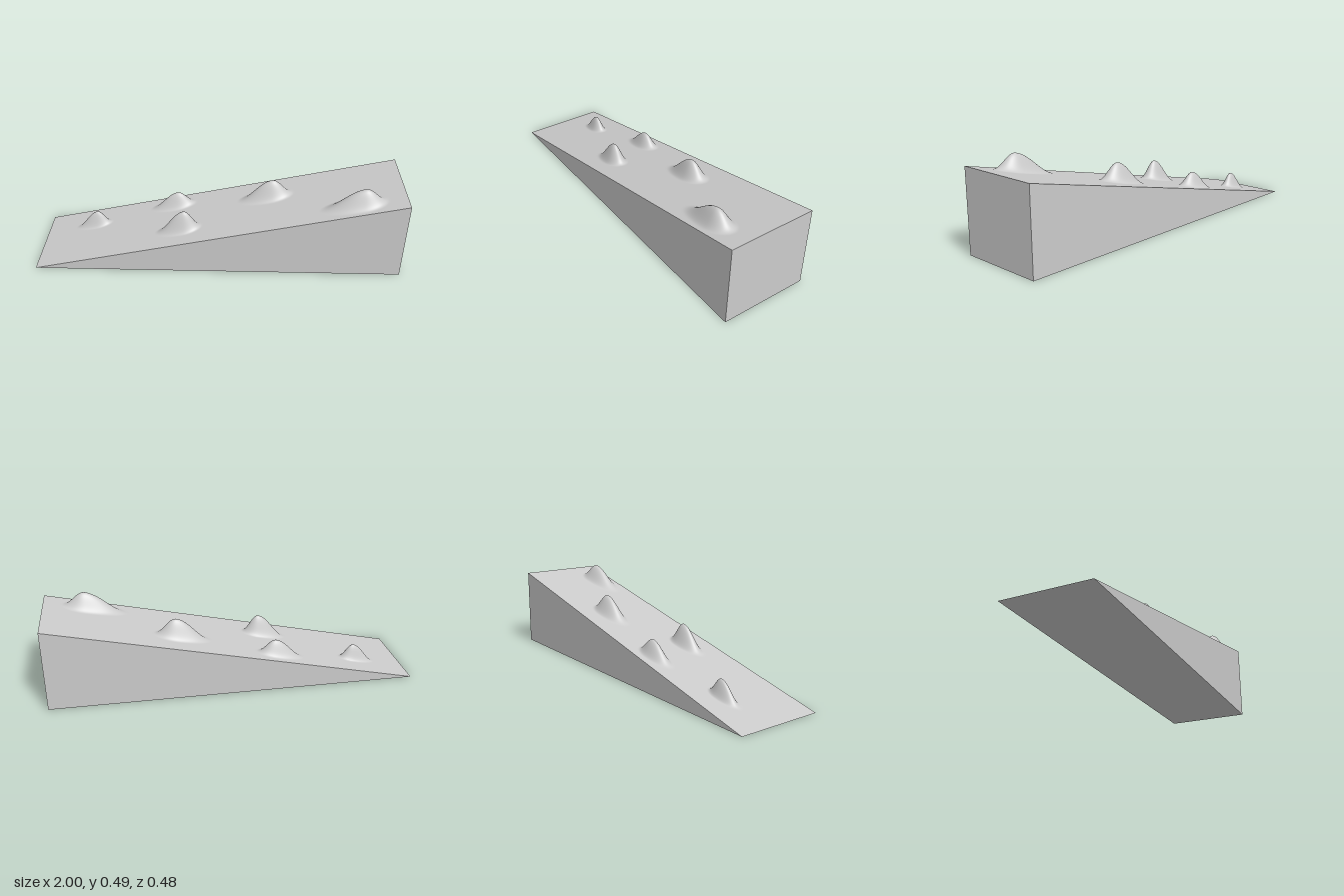
import * as THREE from 'three';

const HEIGHT = 0.445, HALF_DEPTH = 0.24;

// Bumps: peak x and z, height, reach toward -x, reach toward +x, half width in z
const BUMPS = [
  [-0.70, -0.09, 0.088, 0.13, 0.085, 0.047],
  [-0.235, -0.15, 0.085, 0.16, 0.11, 0.06],
  [-0.185, 0.095, 0.112, 0.16, 0.10, 0.064],
  [0.30, -0.08, 0.103, 0.19, 0.125, 0.074],
  [0.775, 0.143, 0.092, 0.23, 0.13, 0.08],
];

// Ramp height plus the rounded, lopsided bumps
function surfaceY(x, z) {
  let y = HEIGHT * (x + 1) / 2;
  for (const [bx, bz, h, left, right, wide] of BUMPS) {
    const r = Math.hypot((x - bx) / (x < bx ? left : right), (z - bz) / wide);
    if (r < 1) y += h * Math.cos(r * Math.PI / 2) ** 2;
  }
  return y;
}

export function createModel() {
  const group = new THREE.Group();
  group.name = 'bumpyRamp';
  const material = new THREE.MeshStandardMaterial({ color: 0xcccccc });

  // Sloping top with bumps
  const top = new THREE.PlaneGeometry(2, HALF_DEPTH * 2, 260, 96);
  top.rotateX(-Math.PI / 2);
  const p = top.attributes.position;
  for (let i = 0; i < p.count; i++) p.setY(i, surfaceY(p.getX(i), p.getZ(i)));
  top.computeVertexNormals();
  const slope = new THREE.Mesh(top, material);
  slope.name = 'bumpySlope';
  group.add(slope);

  // Wedge walls and underside: tip, bottom and top corners at back (b) and front (f)
  const d = HALF_DEPTH;
  const tipB = [-1, 0, -d], tipF = [-1, 0, d];
  const lowB = [1, 0, -d], lowF = [1, 0, d];
  const highB = [1, HEIGHT, -d], highF = [1, HEIGHT, d];
  const corners = [
    tipF, lowF, highF, // front
    lowB, tipB, highB, // back
    lowF, lowB, highB, lowF, highB, highF, // tall end
    tipB, lowB, lowF, tipB, lowF, tipF, // underside
  ];
  const walls = new THREE.BufferGeometry();
  walls.setAttribute('position', new THREE.Float32BufferAttribute(corners.flat(), 3));
  walls.computeVertexNormals();
  const body = new THREE.Mesh(walls, material);
  body.name = 'wedgeBody';
  group.add(body);

  return group;
}
